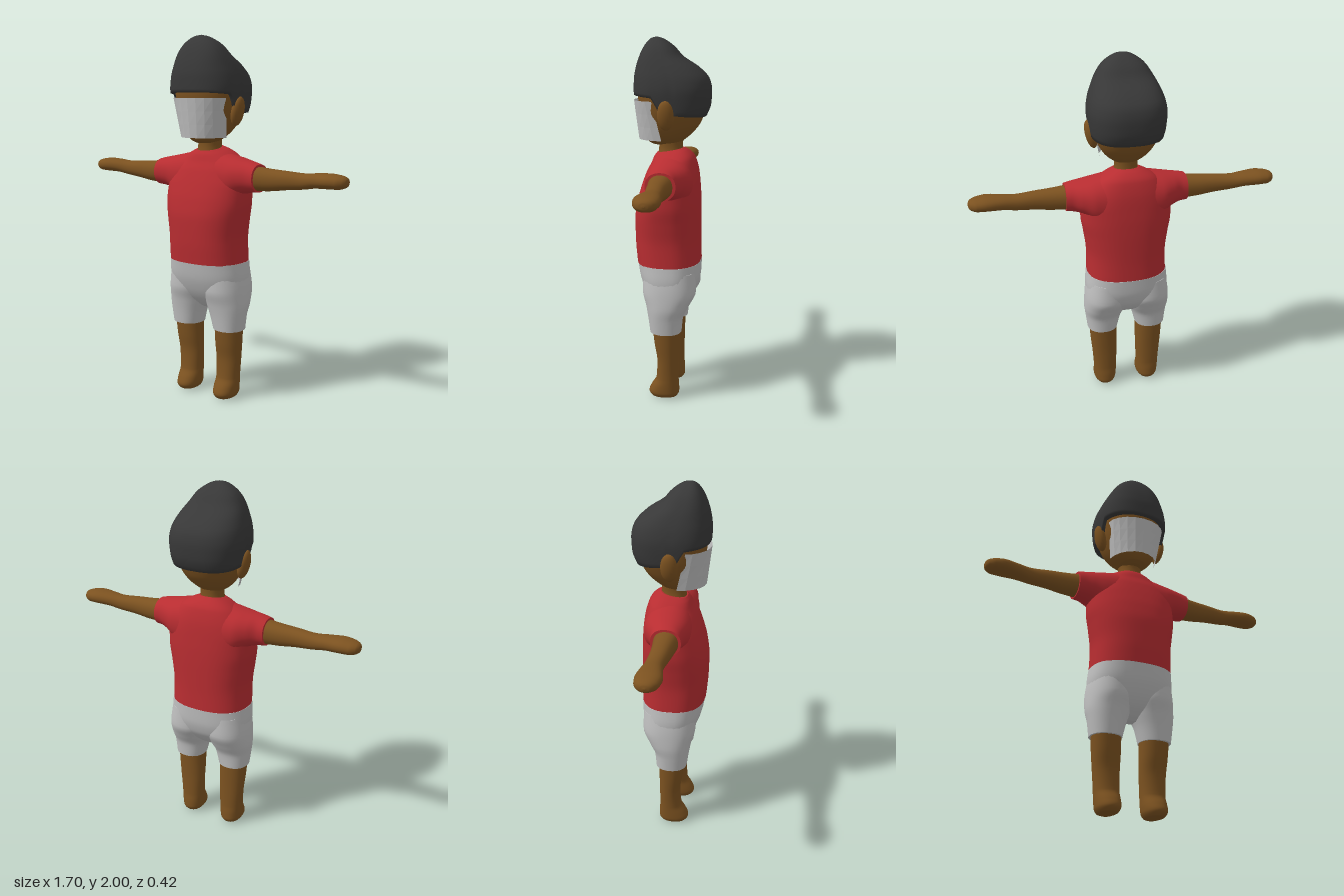
import * as THREE from 'three';

const mat = (name, color) => {
  const m = new THREE.MeshStandardMaterial({ color });
  m.name = name;
  return m;
};
const skin = mat('brown skin', 0x7c5220);
const red = mat('red cloth', 0xb82d31);
const grey = mat('light grey cloth', 0xbebebe);
grey.side = THREE.DoubleSide;
const black = mat('dark hair', 0x383838);

// Smooth, overshoot-free interpolation of sections [pos, uMin, uMax, vMin, vMax]
function sample(secs, pos) {
  let i = 0;
  while (i < secs.length - 2 && pos > secs[i + 1][0]) i++;
  const h = secs[i + 1][0] - secs[i][0], t = (pos - secs[i][0]) / h;
  const slope = (j, k) => (secs[j + 1][k] - secs[j][k]) / (secs[j + 1][0] - secs[j][0]);
  const tangent = (j, k) => {
    if (j === 0) return slope(0, k);
    if (j === secs.length - 1) return slope(j - 1, k);
    const a = slope(j - 1, k), b = slope(j, k);
    return a * b > 0 ? (2 * a * b) / (a + b) : 0;
  };
  return [1, 2, 3, 4].map((k) => {
    const t2 = t * t, t3 = t2 * t;
    return (2 * t3 - 3 * t2 + 1) * secs[i][k] + (3 * t2 - 2 * t3) * secs[i + 1][k]
      + h * ((t3 - 2 * t2 + t) * tangent(i, k) + (t3 - t2) * tangent(i + 1, k));
  });
}

const power = (v, n) => Math.sign(v) * Math.abs(v) ** (2 / n);

// Rings of points joined into a skin, with flat caps at both ends
function skinRings(rings) {
  const pos = [], idx = [], n = rings[0].length;
  rings.forEach((r) => r.forEach((p) => pos.push(...p)));
  for (let j = 0; j < rings.length - 1; j++) {
    for (let i = 0; i < n; i++) {
      const a = j * n + i, b = j * n + ((i + 1) % n);
      idx.push(a, a + n, b, b, a + n, b + n);
    }
  }
  [rings[0], rings[rings.length - 1]].forEach((r, end) => {
    const base = pos.length / 3;
    r.forEach((p) => pos.push(...p));
    pos.push(...[0, 1, 2].map((k) => r.reduce((s, p) => s + p[k], 0) / n));
    for (let i = 0; i < n; i++) {
      const a = base + i, b = base + ((i + 1) % n);
      idx.push(...(end ? [a, base + n, b] : [a, b, base + n]));
    }
  });
  const g = new THREE.BufferGeometry();
  g.setAttribute('position', new THREE.Float32BufferAttribute(pos, 3));
  g.setIndex(idx);
  g.computeVertexNormals();
  return g;
}

// Loft along y (u = x, v = z) or along x (u = z, v = y)
function loft(secs, { axis = 'y', n = 2.2, seg = 36, sub = 5, warp } = {}) {
  const rings = [];
  for (let s = 0; s < secs.length - 1; s++) {
    for (let k = s ? 1 : 0; k <= sub; k++) {
      const q = secs[s][0] + ((secs[s + 1][0] - secs[s][0]) * k) / sub;
      const [u0, u1, v0, v1] = sample(secs, q);
      const ring = [];
      for (let i = 0; i < seg; i++) {
        const a = (i / seg) * Math.PI * 2;
        const u = (u0 + u1) / 2 + ((u1 - u0) / 2) * power(Math.cos(a), n);
        const v = (v0 + v1) / 2 + ((v1 - v0) / 2) * power(Math.sin(a), n);
        const p = axis === 'y' ? [u, q, v] : [q, v, u];
        if (warp) warp(p);
        ring.push(p);
      }
      rings.push(ring);
    }
  }
  return skinRings(rings);
}

// Hair cap: profile by height, cut off below by a hairline that varies around the head
function hairGeometry() {
  const secs = [
    [1.57, -0.188, 0.188, -0.175, 0.19], [1.65, -0.2, 0.2, -0.205, 0.2],
    [1.72, -0.206, 0.206, -0.208, 0.206], [1.78, -0.197, 0.197, -0.195, 0.205],
    [1.84, -0.175, 0.175, -0.14, 0.195], [1.9, -0.144, 0.144, -0.05, 0.176],
    [1.945, -0.112, 0.112, -0.01, 0.155], [1.98, -0.065, 0.065, 0.035, 0.13],
    [1.993, -0.035, 0.035, 0.06, 0.114], [2, 0, 0, 0.088, 0.088]];
  const line = [[-1, 1.585], [-0.15, 1.6], [-0.05, 1.67], [0.08, 1.63], [0.25, 1.62], [0.44, 1.69], [1.01, 1.7]];
  const hairline = (w) => {
    let i = 0;
    while (i < line.length - 2 && w > line[i + 1][0]) i++;
    return THREE.MathUtils.mapLinear(w, line[i][0], line[i + 1][0], line[i][1], line[i + 1][1]);
  };
  const rings = [], seg = 72, rows = 28;
  for (let j = -1; j <= rows; j++) {
    const t = Math.sin((Math.max(j, 0) / rows) * Math.PI / 2);
    const inset = j < 0 ? 0.86 : 1;
    rings.push(Array.from({ length: seg }, (_, i) => {
      const a = (i / seg) * Math.PI * 2;
      const c = power(Math.cos(a), 2.6), w = power(Math.sin(a), 2.6);
      const y = THREE.MathUtils.lerp(hairline(w), 2, t);
      const [x0, x1, z0, z1] = sample(secs, y);
      return [((x1 - x0) / 2) * c * inset, y, (z0 + z1) / 2 + ((z1 - z0) / 2) * w * inset];
    }));
  }
  return skinRings(rings);
}

// Faceted curved sheet in front of the face
function shieldGeometry() {
  const g = new THREE.PlaneGeometry(2, 1, 10, 3);
  const p = g.attributes.position, L = THREE.MathUtils.lerp;
  for (let i = 0; i < p.count; i++) {
    const a = p.getX(i) * 1.52, t = p.getY(i) + 0.5;
    const back = L(0.035, 0.085, t);
    p.setXYZ(i, L(0.137, 0.167, t) * Math.sin(a), L(1.46, 1.67, t),
      back + (L(0.185, 0.21, t) - back) * Math.cos(a));
  }
  const flat = g.toNonIndexed();
  flat.computeVertexNormals();
  return flat;
}

export function createModel() {
  const model = new THREE.Group();
  model.name = 'figure';
  const add = (name, geo, material) => {
    const m = new THREE.Mesh(geo, material);
    m.name = name;
    model.add(m);
    return m;
  };

  // Shirt body, with the collar rising towards the back
  add('shirt', loft([
    [0.78, -0.225, 0.225, -0.16, 0.192], [0.9, -0.222, 0.222, -0.157, 0.202],
    [1.02, -0.236, 0.236, -0.157, 0.204], [1.12, -0.25, 0.25, -0.155, 0.19],
    [1.2, -0.25, 0.25, -0.15, 0.168], [1.28, -0.22, 0.22, -0.142, 0.14],
    [1.34, -0.17, 0.17, -0.122, 0.115], [1.38, -0.11, 0.11, -0.085, 0.1],
    [1.398, -0.07, 0.07, -0.06, 0.085]], {
    n: 2.4,
    warp: (p) => { p[1] -= 0.18 * (p[2] - 0.02) * THREE.MathUtils.smoothstep(p[1], 1.28, 1.38); },
  }), red);

  // Both sleeves and the shoulder yoke in one sweep
  const sleeve = [[0, -0.13, 0.13, 1.06, 1.38], [0.1, -0.13, 0.13, 1.08, 1.375],
    [0.18, -0.125, 0.125, 1.12, 1.36], [0.25, -0.095, 0.11, 1.165, 1.345],
    [0.3, -0.068, 0.1, 1.175, 1.335], [0.335, -0.062, 0.098, 1.178, 1.326]];
  const mirrored = (secs) => secs.map(([p, ...r]) => [-p, ...r]).reverse();
  add('sleeves', loft([...mirrored(sleeve).slice(0, -1), ...sleeve], { axis: 'x' }), red);

  // Arms with mitten hands
  const arm = [[0.3, -0.05, 0.088, 1.185, 1.318], [0.4, -0.04, 0.076, 1.19, 1.308],
    [0.5, -0.035, 0.066, 1.203, 1.302], [0.6, -0.038, 0.056, 1.213, 1.296],
    [0.68, -0.047, 0.066, 1.225, 1.302], [0.75, -0.055, 0.078, 1.227, 1.305],
    [0.8, -0.05, 0.07, 1.228, 1.3], [0.83, -0.034, 0.052, 1.236, 1.292],
    [0.843, -0.015, 0.035, 1.245, 1.282], [0.848, 0.005, 0.015, 1.26, 1.267]];
  add('leftArm', loft(arm, { axis: 'x', seg: 28 }), skin);
  add('rightArm', loft(mirrored(arm), { axis: 'x', seg: 28 }), skin);

  // Shorts: seat
  add('shortsSeat', loft([
    [0.505, -0.07, 0.07, -0.02, 0.04], [0.525, -0.12, 0.12, -0.05, 0.07],
    [0.57, -0.19, 0.19, -0.1, 0.115], [0.63, -0.228, 0.228, -0.14, 0.15],
    [0.7, -0.235, 0.235, -0.157, 0.175], [0.782, -0.227, 0.227, -0.161, 0.19]], { n: 2.4 }), grey);

  // Shorts legs and bare legs
  const shortsLeg = [[0.4, 0.055, 0.228, -0.068, 0.106], [0.48, 0.034, 0.238, -0.076, 0.117],
    [0.55, 0.008, 0.246, -0.11, 0.13], [0.63, -0.01, 0.242, -0.145, 0.15],
    [0.74, -0.01, 0.226, -0.14, 0.15]];
  const leg = [[0, 0.1, 0.155, -0.02, 0.07], [0.008, 0.08, 0.18, -0.042, 0.1],
    [0.035, 0.066, 0.194, -0.055, 0.116], [0.07, 0.063, 0.196, -0.054, 0.102],
    [0.12, 0.063, 0.197, -0.05, 0.074], [0.22, 0.06, 0.204, -0.05, 0.068],
    [0.32, 0.058, 0.213, -0.052, 0.082], [0.43, 0.058, 0.22, -0.055, 0.094]];
  const across = (secs) => secs.map(([p, a, b, c, d]) => [p, -b, -a, c, d]);
  for (const [side, f] of [['left', (s) => s], ['right', across]]) {
    add(side + 'ShortsLeg', loft(f(shortsLeg)), grey);
    add(side + 'Leg', loft(f(leg), { seg: 28 }), skin);
  }

  // Neck and head
  add('neck', loft([[1.35, -0.075, 0.075, -0.065, 0.085], [1.42, -0.062, 0.062, -0.055, 0.075],
    [1.5, -0.07, 0.07, -0.06, 0.08]], { seg: 24 }), skin);
  add('head', loft([
    [1.43, -0.045, 0.045, -0.03, 0.105], [1.445, -0.075, 0.075, -0.05, 0.13],
    [1.49, -0.122, 0.122, -0.105, 0.152], [1.55, -0.155, 0.155, -0.152, 0.165],
    [1.62, -0.178, 0.178, -0.176, 0.177], [1.7, -0.186, 0.186, -0.18, 0.188],
    [1.78, -0.175, 0.175, -0.165, 0.18], [1.85, -0.11, 0.11, -0.08, 0.15]]), skin);

  // Ears
  for (const s of [1, -1]) {
    const ear = add(s > 0 ? 'leftEar' : 'rightEar', new THREE.SphereGeometry(1, 20, 14), skin);
    ear.position.set(s * 0.186, 1.6, 0.012);
    ear.scale.set(0.03, 0.08, 0.045);
    ear.rotation.z = -s * 0.22;
  }

  add('hair', hairGeometry(), black);
  add('faceCover', shieldGeometry(), grey);
  return model;
}
